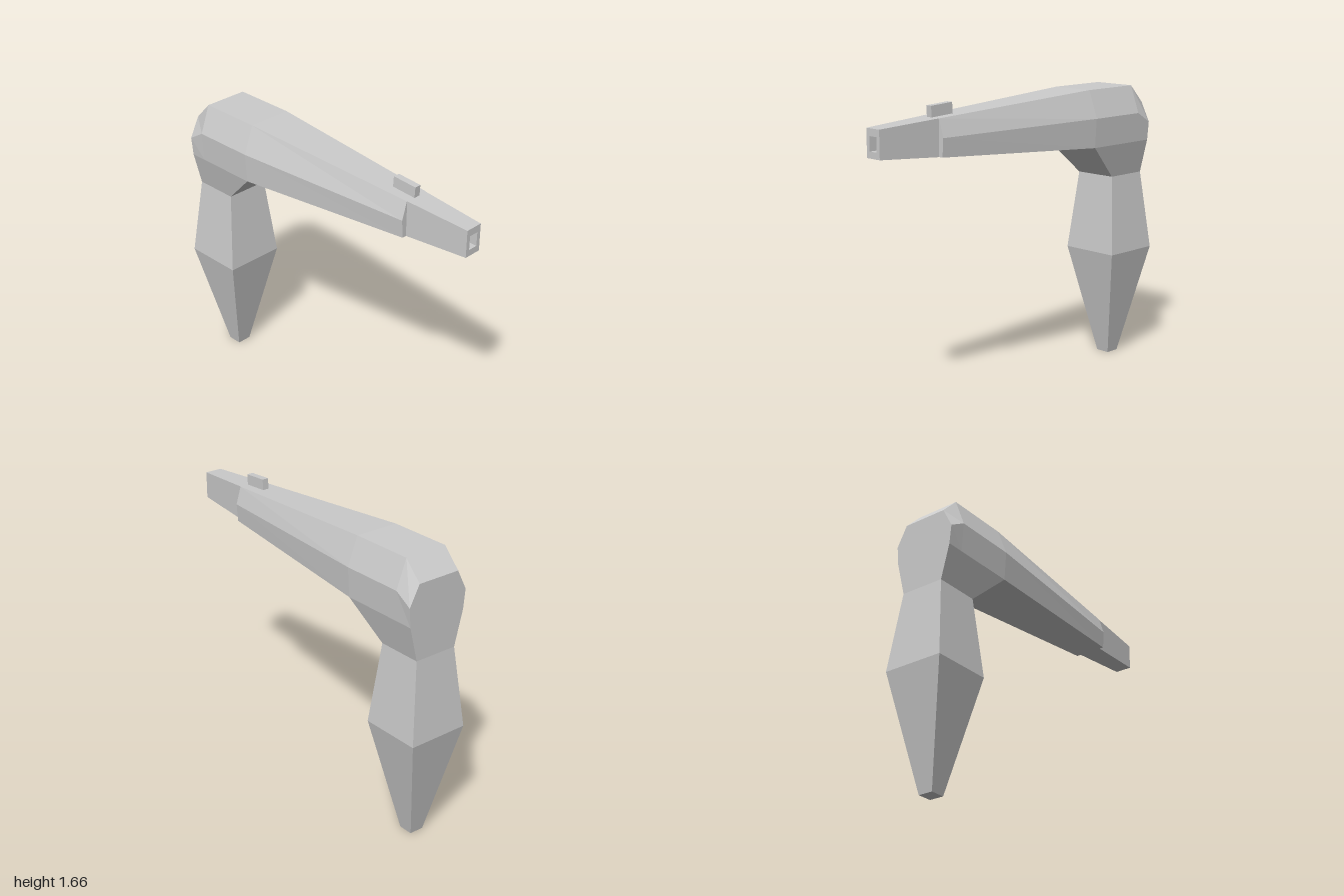
import * as THREE from 'three';

const material = new THREE.MeshStandardMaterial({
  color: 0xcccccc, flatShading: true, side: THREE.DoubleSide,
});

// Skins a list of equal-length rings of [x, y, z]; skip(ring, edge) leaves a quad out.
function loft(name, rings, { capStart = false, capEnd = false, skip = () => false } = {}) {
  const pos = [];
  const tri = (a, b, c) => pos.push(...a, ...b, ...c);
  const fan = (r) => {
    for (let i = 1; i < r.length - 1; i++) tri(r[0], r[i], r[i + 1]);
  };
  for (let k = 0; k < rings.length - 1; k++) {
    const a = rings[k], b = rings[k + 1], n = a.length;
    for (let i = 0; i < n; i++) {
      if (skip(k, i)) continue;
      const j = (i + 1) % n;
      tri(a[i], a[j], b[j]);
      tri(a[i], b[j], b[i]);
    }
  }
  if (capStart) fan([...rings[0]].reverse());
  if (capEnd) fan(rings[rings.length - 1]);
  const geo = new THREE.BufferGeometry();
  geo.setAttribute('position', new THREE.Float32BufferAttribute(pos, 3));
  geo.computeVertexNormals();
  const mesh = new THREE.Mesh(geo, material);
  mesh.name = name;
  return mesh;
}

// Six-sided section across x from three [y, halfWidth] levels: top, ridge, bottom.
const bodyRing = (x, ...levels) => [
  ...levels.map(([y, z]) => [x, y, z]),
  ...[...levels].reverse().map(([y, z]) => [x, y, -z]),
];

// Rectangular section across x.
const barrelRing = (x, y0, y1, z) => [[x, y1, z], [x, y0, z], [x, y0, -z], [x, y1, -z]];

// Rectangular section across y.
const gripRing = (y, x0, x1, z) => [[x1, y, z], [x0, y, z], [x0, y, -z], [x1, y, -z]];

export function createModel() {
  const group = new THREE.Group();
  group.name = 'pistol';

  // Tapering body with side ridges; its underside is open where the grip joins
  group.add(loft('body', [
    bodyRing(-0.95, [1.555, 0.13], [1.44, 0.19], [1.33, 0.18]),
    bodyRing(-0.85, [1.66, 0.13], [1.5, 0.19], [1.33, 0.18]),
    bodyRing(-0.48, [1.66, 0.13], [1.5, 0.19], [1.33, 0.18]),
    bodyRing(0.62, [1.595, 0.073], [1.495, 0.104], [1.392, 0.097]),
  ], { capStart: true, capEnd: true, skip: (ring, edge) => ring < 2 && edge === 2 }));

  // Grip: neck under the body, swelling, then tapering to a small foot
  group.add(loft('grip', [
    gripRing(1.33, -0.95, -0.48, 0.18),
    gripRing(1.13, -0.95, -0.69, 0.13),
    gripRing(0.665, -1, -0.645, 0.18),
    gripRing(0, -0.865, -0.78, 0.043),
  ], { capEnd: true }));

  // Square barrel tip with a recessed bore
  group.add(loft('barrel', [
    barrelRing(0.62, 1.392, 1.595, 0.071),
    barrelRing(1, 1.417, 1.572, 0.051),
    barrelRing(1, 1.453, 1.532, 0.028),
    barrelRing(0.92, 1.453, 1.532, 0.028),
  ], { capEnd: true }));

  // Sight standing on the barrel
  const sight = new THREE.Mesh(new THREE.BoxGeometry(0.148, 0.075, 0.038), material);
  sight.name = 'sight';
  sight.position.set(0.55, 1.623, 0);
  sight.rotation.z = -0.06;
  group.add(sight);

  return group;
}
